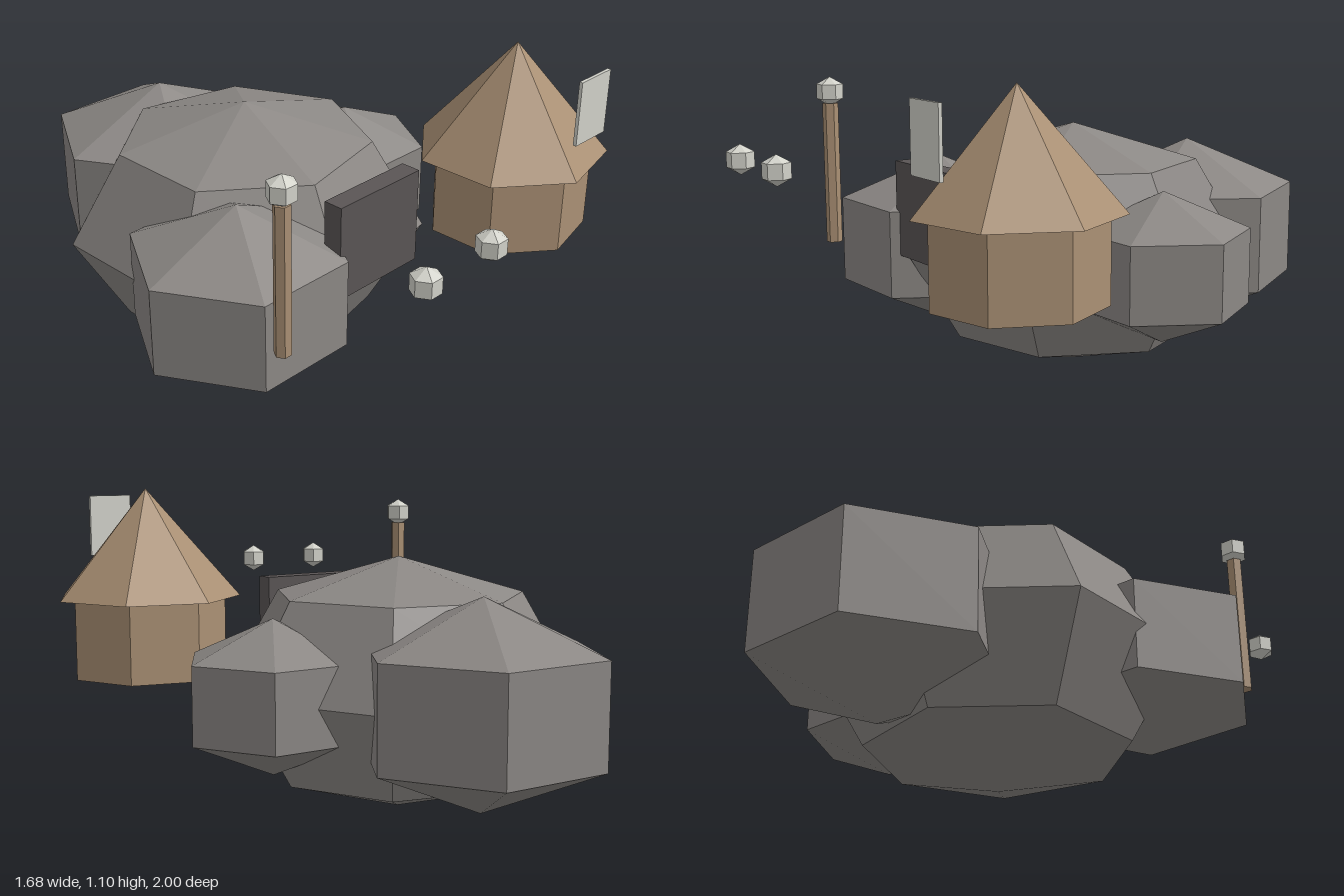
import * as THREE from 'three';

const material = (name, color) => {
  const m = new THREE.MeshStandardMaterial({ color, flatShading: true });
  m.name = name;
  return m;
};

export function createModel() {
  const model = new THREE.Group();
  model.name = 'floatingRockOutpost';

  const rock = material('rockGrey', 0x8c8885);
  const slate = material('darkSlate', 0x5a5555);
  const wood = material('tanWood', 0xaa9074);
  const pale = material('paleGrey', 0xd2d2ca);

  const add = (name, geometry, mat, x, y, z) => {
    const mesh = new THREE.Mesh(geometry, mat);
    mesh.name = name;
    mesh.position.set(x, y, z);
    model.add(mesh);
    return mesh;
  };

  // Faceted ball with a corner pointing to +x, squashed in height
  const ball = (r, ry, sides, rings) =>
    new THREE.SphereGeometry(1, sides, rings).rotateY(Math.PI).scale(r, ry, r);

  // Prism or cone with a corner pointing to +x
  const prism = (rTop, rBottom, h, sides) =>
    new THREE.CylinderGeometry(rTop, rBottom, h, sides).rotateY(Math.PI / 2);

  // Rock mass: a main boulder and three lobes around it
  const ground = 0.443;
  add('mainBoulder', ball(0.62, 0.437, 7, 4), rock, -0.12, ground, -0.15);
  [
    ['rightLobe', 0.416, 0.306, -0.48, 0.19],
    ['leftLobe', 0.342, 0.258, 0.384, -0.15],
    ['backLobe', 0.468, 0.346, -0.077, -0.65],
  ].forEach(([name, r, ry, x, z]) => add(name, ball(r, ry, 6, 3), rock, x, ground, z));

  // Gate slab at the front
  add('gateSlab', new THREE.BoxGeometry(0.368, 0.33, 0.07), slate, -0.12, 0.608, 0.437);

  // Round hut with a pointed roof
  add('hutWall', prism(0.276, 0.276, 0.277, 7), wood, 0.505, 0.5815, 0.51);
  add('hutRoof', prism(0, 0.33, 0.383, 7), wood, 0.505, 0.9115, 0.51);

  // Sign panel in front of the roof
  add('signPanel', new THREE.BoxGeometry(0.16, 0.22, 0.012), pale, 0.505, 0.96, 0.813);

  // Lamp post and lanterns
  add('lampPost', prism(0.028, 0.028, 0.504, 6), wood, -0.636, 0.695, 0.55);
  [
    [-0.636, 0.989, 0.55],
    [-0.488, 0.797, 0.955],
    [-0.195, 0.797, 0.955],
  ].forEach((p, i) => add('lantern' + (i + 1), ball(0.054, 0.052, 6, 3), pale, ...p));

  return model;
}
